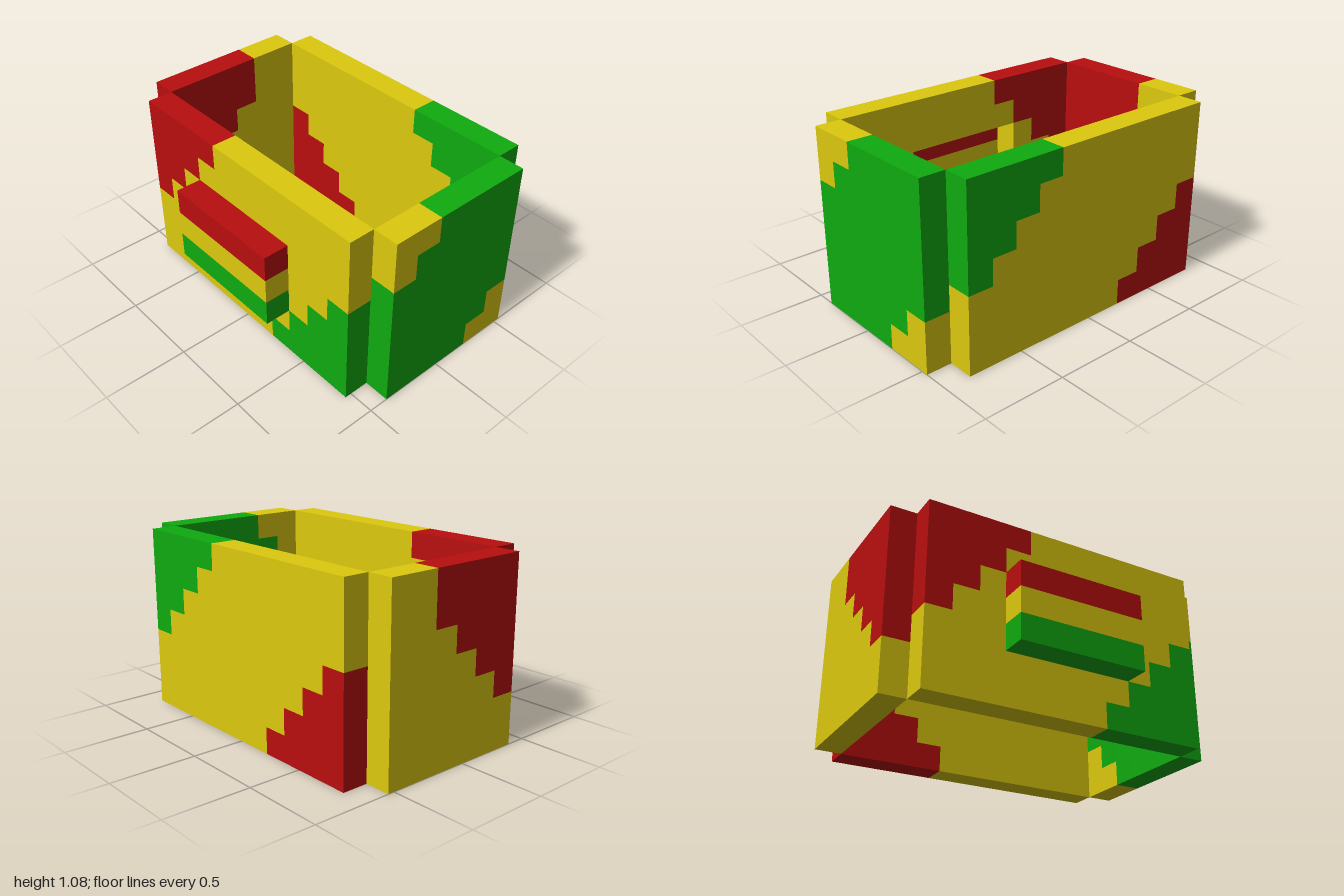
import * as THREE from 'three';
import { mergeGeometries } from 'three/addons/utils/BufferGeometryUtils.js';

// The model is built of cubes on a 13 x 7 x 9 lattice
const NX = 13, NZ = 9, U = 2 / NX;
const COLORS = { red: 0xb90e0e, yellow: 0xdcc90e, green: 0x0fab0f };

const pick = (red, green) => (red ? 'red' : green ? 'green' : 'yellow');

// Each panel: cell range [min, max] per axis, optional opening, stepped colour rule
const PANELS = [
  {
    name: 'frontWall', min: [1, 0, 7], max: [11, 6, 7],
    open: (i, j) => i >= 4 && i <= 8 && j >= 2 && j <= 4,
    color: (i, j) => pick(j - i >= 2, i - j >= 8),
  },
  { name: 'backWall', min: [1, 0, 0], max: [11, 6, 0], color: (i, j) => pick(i + j <= 4, i + j >= 14) },
  { name: 'leftWall', min: [12, 0, 1], max: [12, 6, 6], color: (i, j, k) => pick(false, j + k <= 10 && j + k >= 3) },
  { name: 'rightWall', min: [0, 0, 1], max: [0, 6, 6], color: (i, j, k) => pick(j - k <= 3 && j + k >= 8, false) },
  { name: 'frontPlate', min: [4, 2, 8], max: [8, 4, 8], color: (i, j) => pick(j === 4, j === 2) },
];

// Outward directions, with the turn that makes a +z plane face that way
const SIDES = [
  [1, 0, 0, 0, Math.PI / 2], [-1, 0, 0, 0, -Math.PI / 2],
  [0, 1, 0, -Math.PI / 2, 0], [0, -1, 0, Math.PI / 2, 0],
  [0, 0, 1, 0, 0], [0, 0, -1, 0, Math.PI],
];

function cubeFace([dx, dy, dz, rx, ry], i, j, k) {
  return new THREE.PlaneGeometry(U, U).rotateX(rx).rotateY(ry).translate(
    (i + 0.5 + dx / 2 - NX / 2) * U,
    (j + 0.5 + dy / 2) * U,
    (k + 0.5 + dz / 2 - NZ / 2) * U,
  );
}

// Outer skin of one panel, one mesh per colour
function buildPanel({ name, min, max, open, color }) {
  const filled = (...c) => c.every((v, a) => v >= min[a] && v <= max[a]) && !(open && open(...c));
  const faces = { red: [], yellow: [], green: [] };
  for (let i = min[0]; i <= max[0]; i++)
    for (let j = min[1]; j <= max[1]; j++)
      for (let k = min[2]; k <= max[2]; k++) {
        if (!filled(i, j, k)) continue;
        for (const s of SIDES)
          if (!filled(i + s[0], j + s[1], k + s[2])) faces[color(i, j, k)].push(cubeFace(s, i, j, k));
      }

  const panel = new THREE.Group();
  panel.name = name;
  for (const [key, list] of Object.entries(faces)) {
    if (!list.length) continue;
    const mesh = new THREE.Mesh(
      mergeGeometries(list),
      new THREE.MeshStandardMaterial({ color: COLORS[key] }),
    );
    mesh.name = `${name} ${key}`;
    panel.add(mesh);
  }
  return panel;
}

export function createModel() {
  const model = new THREE.Group();
  model.name = 'stripedFrame';
  for (const panel of PANELS) model.add(buildPanel(panel));
  return model;
}
